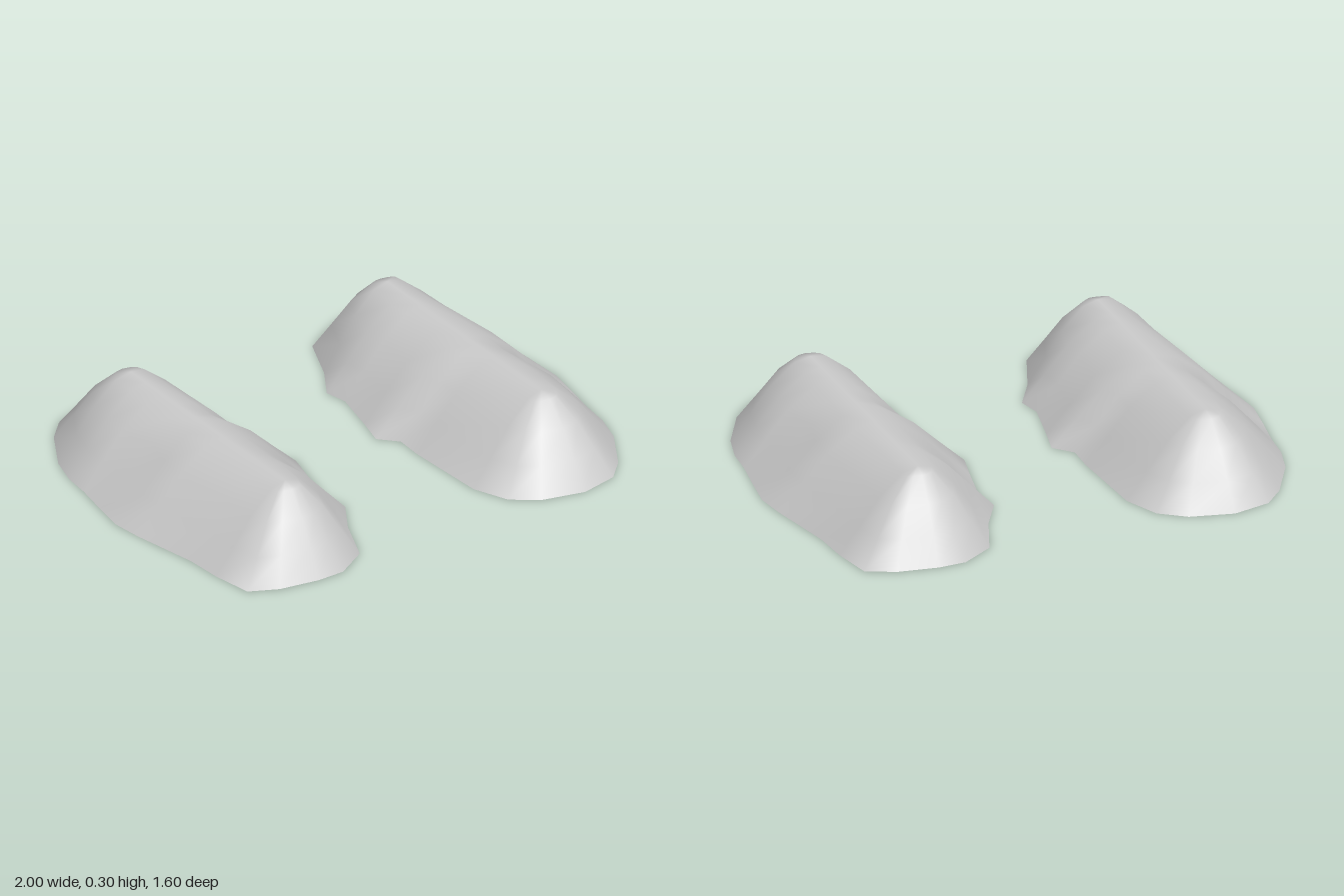
import * as THREE from 'three';

// Base outline of one mound: x, z, and how far the slope bulges (+) or dents (-)
const OUTLINE = [
  [-0.58, -0.80, 0], [-0.73, -0.77, 0], [-0.81, -0.69, 0], [-0.91, -0.52, 0],
  [-0.945, -0.40, 0], [-0.955, -0.29, 0.05], [-0.98, -0.15, -0.22], [-1.0, -0.02, -0.06],
  [-0.985, 0.10, 0], [-0.93, 0.37, 0], [-0.92, 0.52, 0], [-0.89, 0.68, 0],
  [-0.78, 0.735, 0], [-0.62, 0.765, 0], [-0.51, 0.765, 0], [-0.38, 0.69, 0],
  [-0.30, 0.50, 0], [-0.22, 0.37, 0], [-0.24, 0.28, 0], [-0.20, 0.10, 0],
  [-0.17, -0.02, 0], [-0.235, -0.09, 0], [-0.23, -0.20, 0], [-0.25, -0.54, 0],
  [-0.31, -0.68, 0], [-0.41, -0.755, 0],
];

// Slope from ridge to ground: distance fraction, height, share of the dent
const SLOPE = [[0, 0.3, 0], [0.2, 0.285, 0.3], [0.5, 0.202, 1], [0.75, 0.1, 0.5], [1, 0, 0]];

const RIDGE_X = -0.59;
const RIDGE_HALF = 0.5;

function moundGeometry() {
  const n = OUTLINE.length;
  const positions = [];
  const indices = [];

  // Rings running from the straight ridge out to the outline
  for (const [f, y, share] of SLOPE) {
    for (const [x, z, bulge] of OUTLINE) {
      const ridgeZ = THREE.MathUtils.clamp(z, -RIDGE_HALF, RIDGE_HALF);
      const t = f * (1 + bulge * share);
      positions.push(RIDGE_X + (x - RIDGE_X) * t, y, ridgeZ + (z - ridgeZ) * t);
    }
  }
  for (let r = 0; r < SLOPE.length - 1; r++) {
    for (let i = 0; i < n; i++) {
      const j = (i + 1) % n;
      const a = (r + 1) * n + i, b = (r + 1) * n + j;
      const c = r * n + j, d = r * n + i;
      indices.push(a, b, c, a, c, d);
    }
  }

  const geometry = new THREE.BufferGeometry();
  geometry.setAttribute('position', new THREE.Float32BufferAttribute(positions, 3));
  geometry.setIndex(indices);
  geometry.computeVertexNormals();
  // Both slopes meet smoothly on the ridge
  for (let i = 0; i < n; i++) geometry.attributes.normal.setXYZ(i, 0, 1, 0);
  return geometry;
}

export function createModel() {
  const model = new THREE.Group();
  model.name = 'moundPair';
  const material = new THREE.MeshStandardMaterial({ color: 0xcccccc, side: THREE.DoubleSide });
  const geometry = moundGeometry();

  // The second mound is the first one turned half way round
  ['rightMound', 'leftMound'].forEach((name, i) => {
    const mound = new THREE.Mesh(geometry, material);
    mound.name = name;
    mound.rotation.y = i * Math.PI;
    model.add(mound);
  });
  return model;
}
